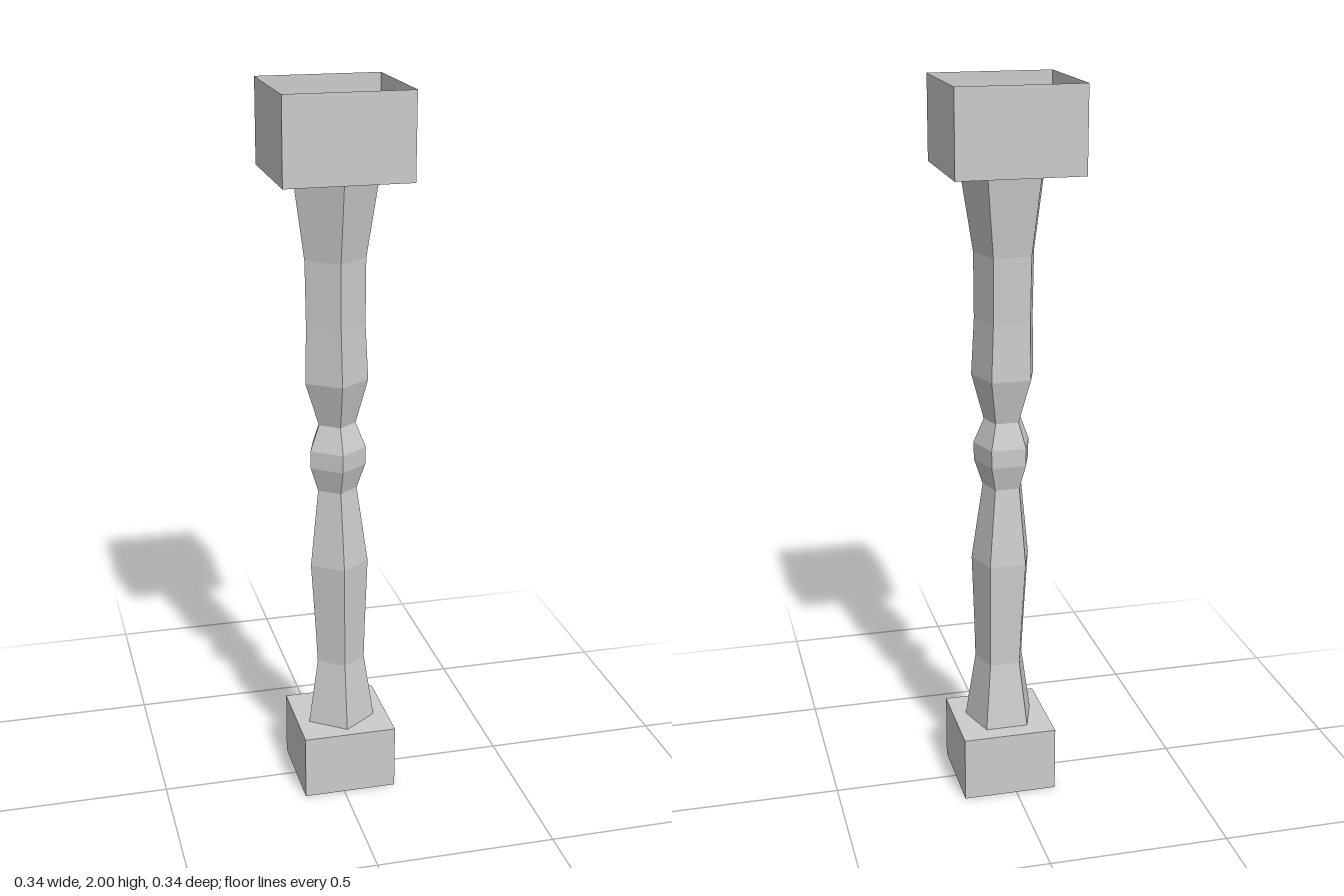
import * as THREE from 'three';

const stone = new THREE.MeshStandardMaterial({ color: 0xcccccc, side: THREE.DoubleSide });
stone.name = 'paleStone';

// Thin-walled box with one side left open (face order: +x, -x, +y, -y, +z, -z)
function openBox(name, width, height, depth, openFace, x, y, z) {
  const geo = new THREE.BoxGeometry(width, height, depth);
  const index = Array.from(geo.index.array);
  index.splice(openFace * 6, 6);
  geo.setIndex(index);
  geo.clearGroups();
  const mesh = new THREE.Mesh(geo, stone);
  mesh.name = name;
  mesh.position.set(x, y, z);
  return mesh;
}

// Five-sided faceted shaft lofted through rings of [y, radius, centre x, centre z]
function createShaft() {
  const sides = 5;
  const rings = [
    [0.185, 0.101, 0.016, 0],
    [0.375, 0.0715, 0.016, 0],
    [0.485, 0.076, 0.014, 0],
    [0.68, 0.086, 0.01, 0.001],
    [0.9, 0.0575, 0.0065, 0],
    [0.97, 0.081, 0.0065, 0.001],
    [1.02, 0.082, 0.0065, 0.001],
    [1.09, 0.054, 0.0065, -0.001],
    [1.215, 0.0915, 0.0025, -0.001],
    [1.37, 0.0855, 0, -0.001],
    [1.55, 0.0875, -0.001, -0.002],
    [1.8, 0.126, 0, -0.004],
  ];
  const point = ([y, r, cx, cz], i) => {
    const a = (i / sides) * Math.PI * 2;
    return [cx + r * Math.sin(a), y, cz + r * Math.cos(a)];
  };
  const positions = [];
  for (let j = 0; j < rings.length - 1; j++) {
    for (let i = 0; i < sides; i++) {
      const a = point(rings[j], i), b = point(rings[j], i + 1);
      const c = point(rings[j + 1], i + 1), d = point(rings[j + 1], i);
      positions.push(...a, ...b, ...c, ...a, ...c, ...d);
    }
  }
  // Top cap, just above the floor of the capital
  const top = rings[rings.length - 1];
  for (let i = 0; i < sides; i++) {
    positions.push(top[2], top[0], top[3], ...point(top, i), ...point(top, i + 1));
  }
  const geo = new THREE.BufferGeometry();
  geo.setAttribute('position', new THREE.Float32BufferAttribute(positions, 3));
  geo.computeVertexNormals();
  const mesh = new THREE.Mesh(geo, stone);
  mesh.name = 'shaft';
  return mesh;
}

export function createModel() {
  const group = new THREE.Group();
  group.name = 'column';
  group.add(
    openBox('base', 0.264, 0.185, 0.262, 3, 0.018, 0.0925, 0),
    createShaft(),
    openBox('capital', 0.342, 0.23, 0.342, 2, 0, 1.885, 0),
  );
  return group;
}
